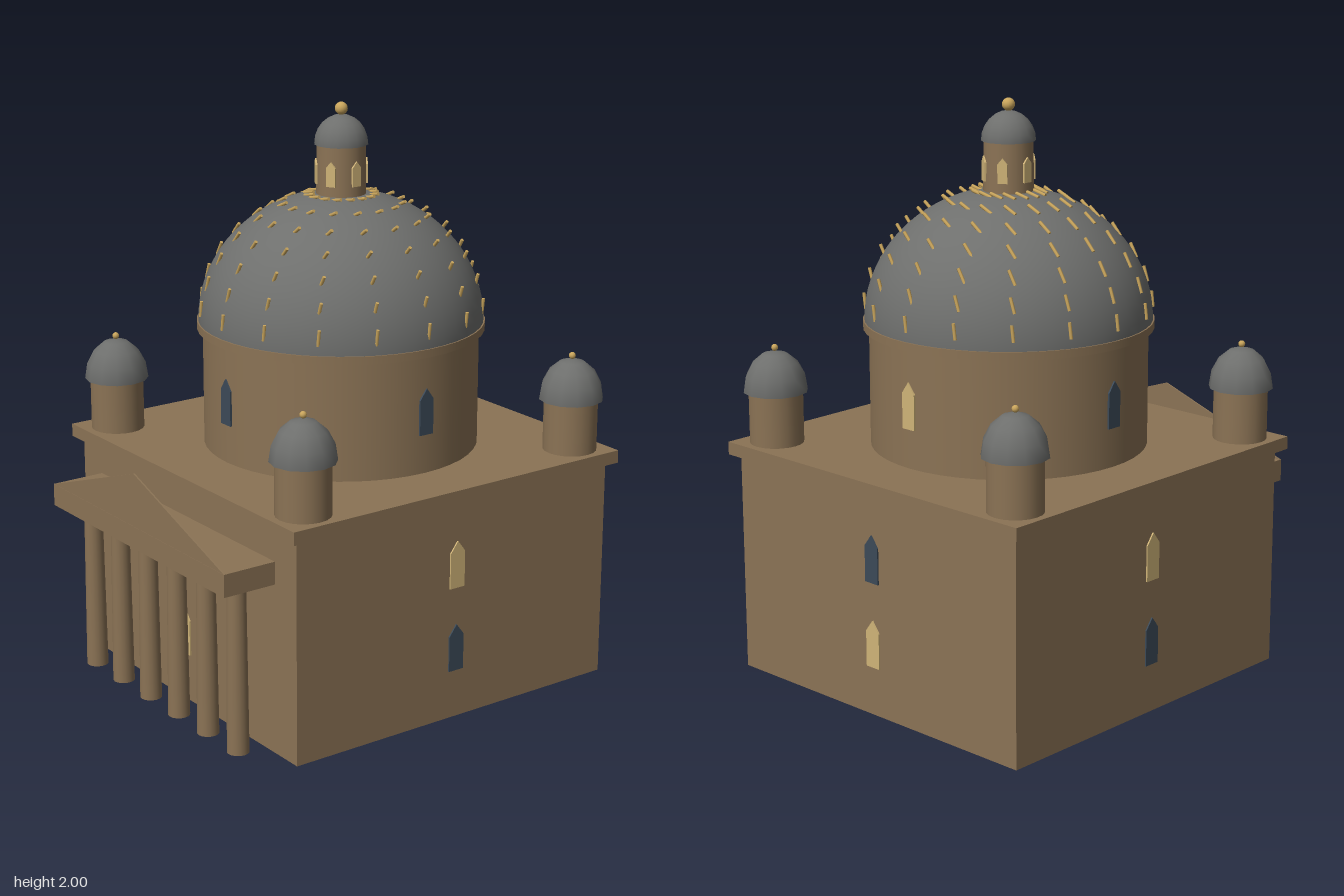
import * as THREE from 'three';

const mat = (name, color) => {
  const m = new THREE.MeshStandardMaterial({ color });
  m.name = name;
  return m;
};

export function createModel() {
  const stone = mat('stone', 0x8b7355);
  const slate = mat('slate', 0x6e6f6d);
  const gold = mat('gold', 0xc9a55c);
  const litGlass = mat('litGlass', 0xd0b478);
  const darkGlass = mat('darkGlass', 0x3c4a58);

  const model = new THREE.Group();
  model.name = 'domedBuilding';
  // The main block sits slightly behind the centre, leaving room for the portico
  const building = new THREE.Group();
  building.name = 'building';
  building.position.z = -0.083;
  model.add(building);

  const add = (parent, name, geometry, material, x = 0, y = 0, z = 0) => {
    const mesh = new THREE.Mesh(geometry, material);
    mesh.name = name;
    mesh.position.set(x, y, z);
    parent.add(mesh);
    return mesh;
  };
  const box = (w, h, d) => new THREE.BoxGeometry(w, h, d);
  const cylinder = (top, bottom, h, n) => new THREE.CylinderGeometry(top, bottom, h, n);
  const halfDome = (r, h, n, rows) =>
    new THREE.SphereGeometry(r, n, rows, 0, Math.PI * 2, 0, Math.PI / 2).scale(1, h / r, 1);

  // Pointed window plate, standing on y and facing outward at the given angle
  const addWindow = (name, angle, distance, y, w, h, material) => {
    const shape = new THREE.Shape();
    shape.moveTo(-w / 2, 0);
    shape.lineTo(w / 2, 0);
    shape.lineTo(w / 2, h * 0.76);
    shape.lineTo(0, h);
    shape.lineTo(-w / 2, h * 0.76);
    const plate = new THREE.ExtrudeGeometry(shape, { depth: 0.008, bevelEnabled: false });
    plate.translate(0, 0, -0.003);
    add(building, name, plate, material,
      Math.sin(angle) * distance, y, Math.cos(angle) * distance).rotation.y = angle;
  };

  // Main block and cornice
  add(building, 'mainBlock', box(1.3, 0.78, 1.305), stone, 0, 0.39, 0);
  add(building, 'cornice', box(1.36, 0.045, 1.365), stone, 0, 0.7975, 0);

  // Drum, rim and great dome
  add(building, 'drum', cylinder(0.475, 0.475, 0.42, 48), stone, 0, 1.025, 0);
  add(building, 'domeRim', cylinder(0.495, 0.495, 0.028, 48), stone, 0, 1.24, 0);
  add(building, 'dome', halfDome(0.49, 0.447, 48, 20), slate, 0, 1.25, 0);

  // Gilded rods in sixteen meridians, leaning further over toward the top
  const rods = new THREE.Group();
  rods.name = 'domeRods';
  building.add(rods);
  const rodGeometry = cylinder(0.006, 0.006, 0.055, 6);
  for (let row = 0; row < 7; row++) {
    const lift = THREE.MathUtils.degToRad(8 + row * 11.5);
    for (let i = 0; i < 16; i++) {
      const a = (i / 16) * Math.PI * 2;
      const r = 0.492 * Math.cos(lift);
      add(rods, 'domeRod', rodGeometry, gold,
        r * Math.cos(a), 1.25 + 0.449 * Math.sin(lift), r * Math.sin(a)).rotation.z = -lift;
    }
  }

  // Lantern with its own cap and finial
  add(building, 'lantern', cylinder(0.083, 0.086, 0.2, 24), stone, 0, 1.76, 0);
  add(building, 'lanternCap', halfDome(0.092, 0.1, 16, 6), slate, 0, 1.858, 0);
  add(building, 'lanternCapBase', new THREE.CircleGeometry(0.092, 16).rotateX(Math.PI / 2),
    slate, 0, 1.858, 0);
  add(building, 'lanternFinial', new THREE.SphereGeometry(0.022, 16, 10), gold, 0, 1.978, 0);
  for (let i = 0; i < 6; i++) {
    addWindow('lanternWindow', Math.PI / 6 + (i * Math.PI) / 3, 0.084, 1.725, 0.034, 0.085, litGlass);
  }

  // Four corner turrets
  for (const sx of [-1, 1]) {
    for (const sz of [-1, 1]) {
      const turret = new THREE.Group();
      turret.name = 'cornerTurret';
      turret.position.set(sx * 0.563, 0.82, sz * 0.563);
      building.add(turret);
      add(turret, 'turretWall', cylinder(0.093, 0.093, 0.185, 20), stone, 0, 0.0925, 0);
      add(turret, 'turretCap', halfDome(0.111, 0.142, 12, 4), slate, 0, 0.18, 0);
      add(turret, 'turretCapBase', new THREE.CircleGeometry(0.111, 12).rotateX(Math.PI / 2),
        slate, 0, 0.18, 0);
      add(turret, 'turretFinial', new THREE.SphereGeometry(0.012, 10, 8), gold, 0, 0.332, 0);
    }
  }

  // Two windows per wall plus one on the drum above each wall
  for (let side = 0; side < 4; side++) {
    const angle = (side * Math.PI) / 2;
    const facesX = side % 2 === 1;
    const wall = facesX ? 0.65 : 0.6525;
    addWindow('lowerWindow', angle, wall, 0.17, 0.06, 0.165, facesX ? darkGlass : litGlass);
    addWindow('upperWindow', angle, wall, 0.467, 0.06, 0.165, facesX ? litGlass : darkGlass);
    addWindow('drumWindow', angle, 0.475, 0.955, 0.055, 0.16, side === 2 ? litGlass : darkGlass);
  }

  // Portico: six tapering columns, a beam and a thin gable at its front edge
  const portico = new THREE.Group();
  portico.name = 'portico';
  model.add(portico);
  const column = cylinder(0.032, 0.038, 0.6, 16);
  for (let i = 0; i < 6; i++) {
    add(portico, 'column', column, stone, (i - 2.5) * 0.178, 0.3, 0.66);
  }
  add(portico, 'beam', box(1.064, 0.078, 0.2), stone, 0, 0.631, 0.665);
  const gable = new THREE.Shape();
  gable.moveTo(-0.532, 0);
  gable.lineTo(0.532, 0);
  gable.lineTo(0, 0.187);
  add(portico, 'gable', new THREE.ExtrudeGeometry(gable, { depth: 0.006, bevelEnabled: false }),
    stone, 0, 0.669, 0.758);

  return model;
}
